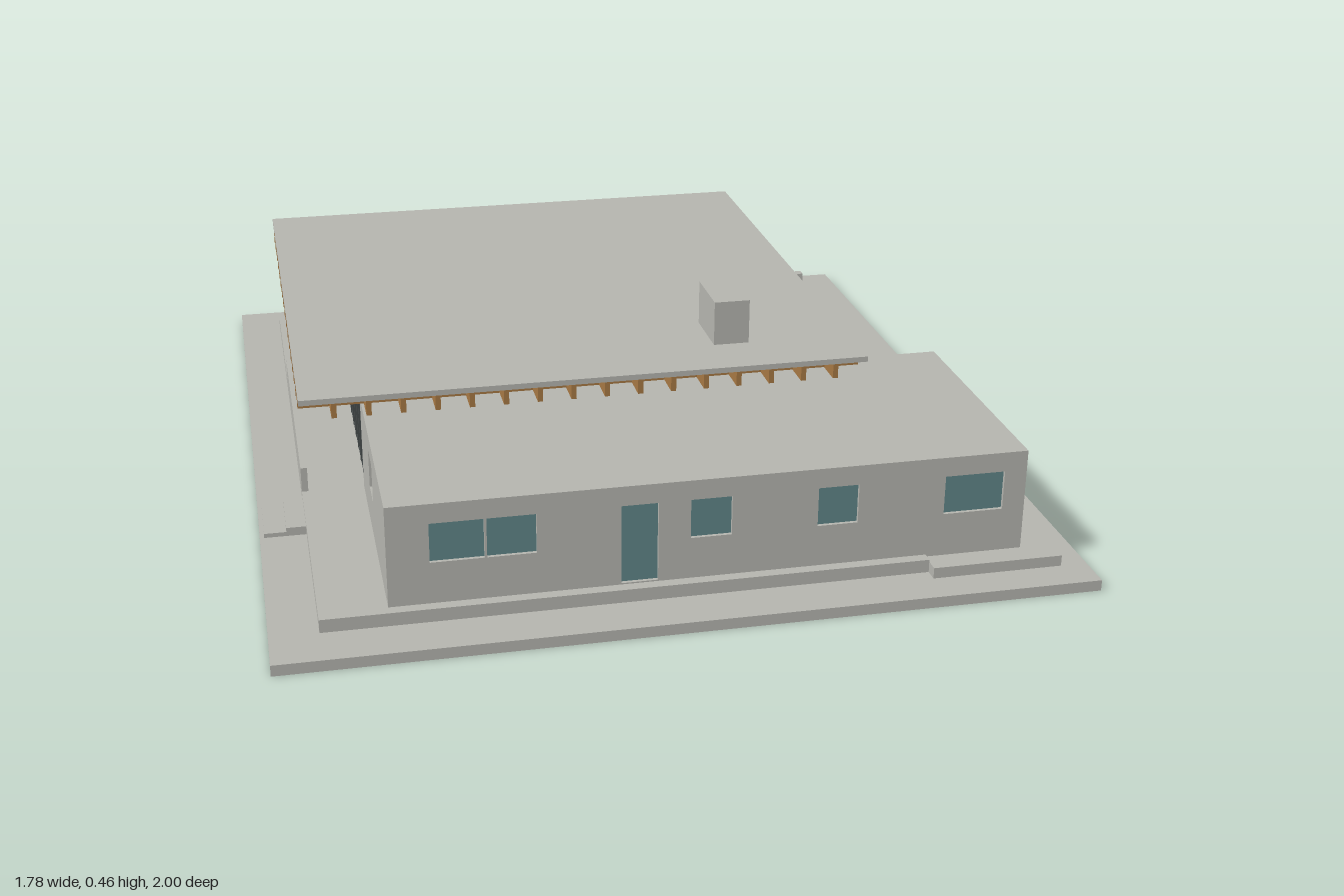
import * as THREE from 'three';

export function createModel() {
  const model = new THREE.Group();
  model.name = 'house';

  const material = (name, color) => {
    const m = new THREE.MeshStandardMaterial({ color });
    m.name = name;
    return m;
  };
  const concrete = material('concrete', 0xb4b4ae);
  const glass = material('glass', 0x5f8588);
  const timber = material('timber', 0xa67843);
  const frame = material('dark frame', 0x474c4c);

  // Box given by its two extreme corners
  function box(name, mat, x0, x1, y0, y1, z0, z1, parent = model) {
    const mesh = new THREE.Mesh(new THREE.BoxGeometry(x1 - x0, y1 - y0, z1 - z0), mat);
    mesh.position.set((x0 + x1) / 2, (y0 + y1) / 2, (z0 + z1) / 2);
    mesh.name = name;
    parent.add(mesh);
    return mesh;
  }
  function group(name) {
    const g = new THREE.Group();
    g.name = name;
    model.add(g);
    return g;
  }

  const FLOOR = 0.055;

  // Ground slab, terrace and side patio
  box('groundSlab', concrete, -0.89, 0.89, 0, 0.025, -1, 1);
  box('terrace', concrete, -0.785, 0.535, 0.025, FLOOR, -0.89, 0.89);
  box('sidePatio', concrete, 0.535, 0.83, 0.025, 0.05, -0.92, 0.92);
  box('bench', concrete, 0.59, 0.78, 0.05, 0.077, -0.905, -0.88);

  // Entrance steps and garden wall on the right side
  box('lowerStep', concrete, -0.88, -0.83, 0.025, 0.035, 0.28, 0.44);
  box('upperStep', concrete, -0.83, -0.785, 0.025, 0.045, 0.28, 0.44);
  box('gardenWall', concrete, -0.785, -0.77, 0.025, 0.115, -0.41, 0.28);

  // Low wing: walls cut with openings [u0, u1, y0, y1], glazed slightly inside
  const wing = group('lowWing');
  const WALL = 0.02, EAVE = 0.27;
  function wall(name, u0, u1, turn, offset, openings, base = FLOOR) {
    const g = new THREE.Group();
    g.name = name;
    const rect = (P, a, b, c, d) => {
      const p = new P();
      p.moveTo(a, c);
      p.lineTo(b, c);
      p.lineTo(b, d);
      p.lineTo(a, d);
      p.closePath();
      return p;
    };
    const shape = rect(THREE.Shape, u0, u1, base, EAVE);
    for (const [a, b, c, d] of openings) {
      shape.holes.push(rect(THREE.Path, a, b, c, d));
      box('windowPane', glass, a, b, c, d, offset - 0.014, offset - 0.008, g);
    }
    const panel = new THREE.Mesh(
      new THREE.ExtrudeGeometry(shape, { depth: WALL, bevelEnabled: false }), concrete);
    panel.position.z = offset - WALL;
    panel.name = name + 'Panel';
    g.add(panel);
    g.rotation.y = turn;
    wing.add(g);
  }
  wall('frontWall', -0.64, 0.755, 0, 0.865, [
    [-0.55, -0.435, 0.15, 0.24], [-0.43, -0.325, 0.15, 0.24],
    [-0.145, -0.065, 0.058, 0.24], [0.005, 0.095, 0.15, 0.24],
    [0.285, 0.375, 0.15, 0.24], [0.57, 0.705, 0.15, 0.24],
  ], 0.05);
  wall('leftWall', -0.845, -0.43, Math.PI / 2, 0.755, [[-0.84, -0.705, 0.058, 0.225]], 0.05);
  wall('porchWall', -0.43, -0.28, Math.PI / 2, 0.54, [[-0.39, -0.31, 0.058, 0.225]], 0.05);
  wall('rightWall', 0.28, 0.845, -Math.PI / 2, 0.64, [[0.48, 0.56, 0.15, 0.24]]);
  box('porchReturnWall', concrete, 0.52, 0.735, 0.05, EAVE, 0.43, 0.45, wing);
  box('backWall', concrete, -0.62, 0.52, FLOOR, EAVE, 0.282, 0.302, wing);
  box('wingRoof', concrete, -0.64, 0.755, EAVE, 0.285, 0.28, 0.865, wing);

  // Glass pavilion, set two roof bays in from the roof edge
  const X0 = -0.785, X1 = 0.535, Z0 = -0.893, Z1 = 0.427;
  const NX = 17, NZ = 18;
  const px = (X1 - X0) / NX, pz = (Z1 - Z0) / NZ;
  const gx0 = X0 + 2 * px, gx1 = X1 - 2 * px;
  const gz0 = Z0 + 2 * pz, gz1 = Z1 - 2 * pz;
  const BEAM0 = 0.3, BEAM1 = 0.335;
  const pavilion = group('glassPavilion');
  box('glassWalls', glass, gx0, gx1, FLOOR, BEAM0, gz0, gz1, pavilion);

  // Mullions on every bay line, with sill and head rails
  const H = 0.006;
  for (let i = 2; i <= NX - 2; i++) {
    const x = X0 + i * px;
    for (const z of [gz0, gz1])
      box('mullion', frame, x - H, x + H, FLOOR, BEAM0, z - H, z + H, pavilion);
  }
  for (let i = 3; i <= NZ - 3; i++) {
    const z = Z0 + i * pz;
    for (const x of [gx0, gx1])
      box('mullion', frame, x - H, x + H, FLOOR, BEAM0, z - H, z + H, pavilion);
  }
  for (const [y0, y1] of [[FLOOR, 0.062], [0.292, BEAM0]]) {
    for (const z of [gz0, gz1])
      box('rail', frame, gx0, gx1, y0, y1, z - 0.005, z + 0.005, pavilion);
    for (const x of [gx0, gx1])
      box('rail', frame, x - 0.005, x + 0.005, y0, y1, gz0, gz1, pavilion);
  }
  box('doorRail', frame, gx1 - 0.005, gx1 + 0.005, 0.21, 0.221, -0.38, 0.06, pavilion);

  // Timber lattice under the flat roof, beam ends left free at the edges
  const lattice = group('roofLattice');
  const B = 0.006;
  for (let i = 1; i < NX; i++) {
    const x = X0 + i * px;
    box('longBeam', timber, x - B, x + B, BEAM0, BEAM1, Z0, Z1, lattice);
  }
  for (let i = 1; i < NZ; i++) {
    const z = Z0 + i * pz;
    box('crossBeam', timber, X0, X1, BEAM0 + 0.001, BEAM1, z - B, z + B, lattice);
  }

  // Flat roof and chimney
  box('mainRoof', concrete, X0, X1, BEAM1, 0.348, Z0, Z1);
  box('chimney', concrete, 0.2, 0.285, 0.34, 0.455, 0.135, 0.285);

  return model;
}
